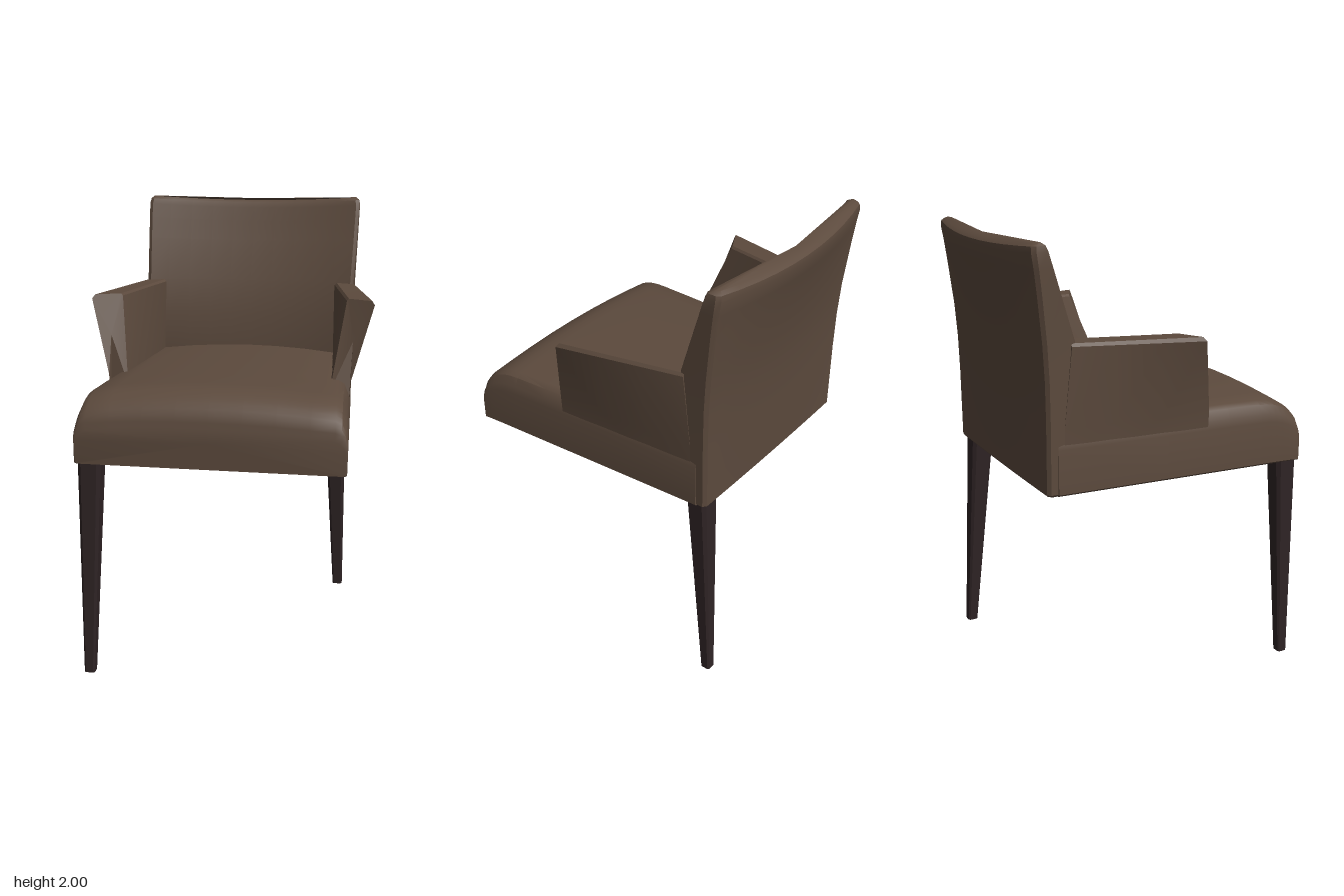
import * as THREE from 'three';
import { toCreasedNormals } from 'three/addons/utils/BufferGeometryUtils.js';

// Skin a row of closed rings of [x, y, z] points and cap both ends
function loft(rings, crease = 0.6) {
  const n = rings[0].length, pos = rings.flat(2), idx = [];
  for (let r = 0; r < rings.length - 1; r++) {
    for (let i = 0; i < n; i++) {
      const a = r * n + i, b = r * n + (i + 1) % n;
      idx.push(a, b, b + n, a, b + n, a + n);
    }
  }
  [0, rings.length - 1].forEach((r) => {
    const c = pos.length / 3;
    for (let k = 0; k < 3; k++) pos.push(rings[r].reduce((s, p) => s + p[k], 0) / n);
    for (let i = 0; i < n; i++) {
      const a = r * n + i, b = r * n + (i + 1) % n;
      if (r === 0) idx.push(c, b, a); else idx.push(c, a, b);
    }
  });
  // Turn the faces outwards if the enclosed volume comes out negative
  const v = (i) => new THREE.Vector3().fromArray(pos, i * 3);
  let volume = 0;
  for (let i = 0; i < idx.length; i += 3) volume += v(idx[i]).dot(v(idx[i + 1]).cross(v(idx[i + 2])));
  if (volume < 0) idx.reverse();
  const g = new THREE.BufferGeometry();
  g.setAttribute('position', new THREE.Float32BufferAttribute(pos, 3));
  g.setIndex(idx);
  return toCreasedNormals(g, crease);
}

// Upholstered seat: crowned sections along z, rounded down at the front
function seatGeometry() {
  const base = 0.96, stations = [[-0.5, 1, 0], [0, 1, 0], [0.3, 1, 0], [0.46, 0.995, 0]];
  for (let i = 1; i <= 9; i++) {
    const t = (i / 9) * Math.PI / 2;
    stations.push([0.47 + 0.187 * Math.sin(t), 0.53 + 0.465 * Math.cos(t), 0]);
  }
  stations.push([0.66, 0.5, 0.008]);
  return loft(stations.map(([z, f, inset]) => {
    const w = 0.533 + 0.058 * z - inset;
    const half = [[w - 0.008, base], [w, base + 0.008], [w, 1.16], [w - 0.008, 1.195], [w - 0.025, 1.235], [w - 0.05, 1.251]];
    for (const x of [0.42, 0.28, 0.14]) half.push([x, 1.285 - 0.13 * x * x]);
    const mirrored = half.map(([x, y]) => [-x, y]).reverse();
    return [...half, [0, 1.285], ...mirrored].map(([x, y]) => [x, base + (y - base) * f, z]);
  }));
}

// Backrest: stacked rings, bowed backwards and leaning
function backrestGeometry() {
  // y, half width, front z, back z, front bow, back bow
  const levels = [
    [0.96, 0.49, -0.44, -0.538, 0, 0.004], [0.97, 0.498, -0.43, -0.545, 0, 0.005],
    [1.28, 0.502, -0.39, -0.545, 0.03, 0.012], [1.45, 0.505, -0.395, -0.548, 0.045, 0.02],
    [1.6, 0.508, -0.413, -0.557, 0.055, 0.027], [1.8, 0.515, -0.475, -0.578, 0.06, 0.042],
    [1.9, 0.518, -0.506, -0.59, 0.062, 0.053], [1.965, 0.52, -0.527, -0.6, 0.062, 0.06],
    [1.988, 0.515, -0.536, -0.598, 0.062, 0.06], [2.0, 0.502, -0.552, -0.585, 0.062, 0.06],
  ];
  return loft(levels.map(([y, w, zf, zb, bf, bb]) => {
    const dip = 0.02 * THREE.MathUtils.smoothstep(y, 1.6, 1.96), ring = [];
    const put = (u, z, bow) => ring.push([u * w, y - dip * (1 - u * u), z - bow * (1 - u * u)]);
    const us = [-0.97, -0.8, -0.6, -0.4, -0.2, 0, 0.2, 0.4, 0.6, 0.8, 0.97];
    put(-1, zf - 0.013, bf);
    us.forEach((u) => put(u, zf, bf));
    put(1, zf - 0.013, bf);
    put(1, zb + 0.013, bb);
    us.slice().reverse().forEach((u) => put(u, zb, bb));
    put(-1, zb + 0.013, bb);
    return ring;
  }));
}

// Armrest flaring out and forward, with a sloping front end
function armGeometry(side) {
  const back = [[0.5, 1.12, -0.47], [0.503, 1.25, -0.47], [0.514, 1.585, -0.44], [0.505, 1.598, -0.44], [0.425, 1.6, -0.44], [0.415, 1.59, -0.44], [0.42, 1.2, -0.44]];
  const front = [[0.538, 1.12, 0.19], [0.545, 1.245, 0.19], [0.637, 1.575, 0.112], [0.626, 1.592, 0.1], [0.52, 1.592, 0.045], [0.511, 1.582, 0.045], [0.455, 1.2, 0.195]];
  const rings = [0, 0.33, 0.66, 1].map((t) => back.map((p, i) => p.map((c, k) => {
    const value = THREE.MathUtils.lerp(c, front[i][k], t);
    return k === 0 ? side * value : value;
  })));
  return loft(rings, 0.5);
}

// Tapered leg with bevelled corners; ends are [x, y, z, half size]
function legGeometry(top, bottom) {
  return loft([bottom, top].map(([x, y, z, h]) => {
    const c = h * 0.7;
    return [[h, c], [c, h], [-c, h], [-h, c], [-h, -c], [-c, -h], [c, -h], [h, -c]].map(([a, b]) => [x + a, y, z + b]);
  }), 0.3);
}

export function createModel() {
  const group = new THREE.Group();
  const upholstery = new THREE.MeshStandardMaterial({ name: 'brown upholstery', color: 0x5c4a3d });
  const wood = new THREE.MeshStandardMaterial({ name: 'dark wood', color: 0x2f2425 });
  const add = (name, geometry, material) => {
    const mesh = new THREE.Mesh(geometry, material);
    mesh.name = name;
    group.add(mesh);
  };
  add('seat', seatGeometry(), upholstery);
  add('backrest', backrestGeometry(), upholstery);
  add('leftArm', armGeometry(1), upholstery);
  add('rightArm', armGeometry(-1), upholstery);
  // Two legs on opposite corners
  add('frontRightLeg', legGeometry([-0.51, 0.965, 0.605, 0.05], [-0.537, 0, 0.633, 0.023]), wood);
  add('backLeftLeg', legGeometry([0.43, 0.965, -0.48, 0.05], [0.457, 0, -0.55, 0.023]), wood);
  return group;
}
